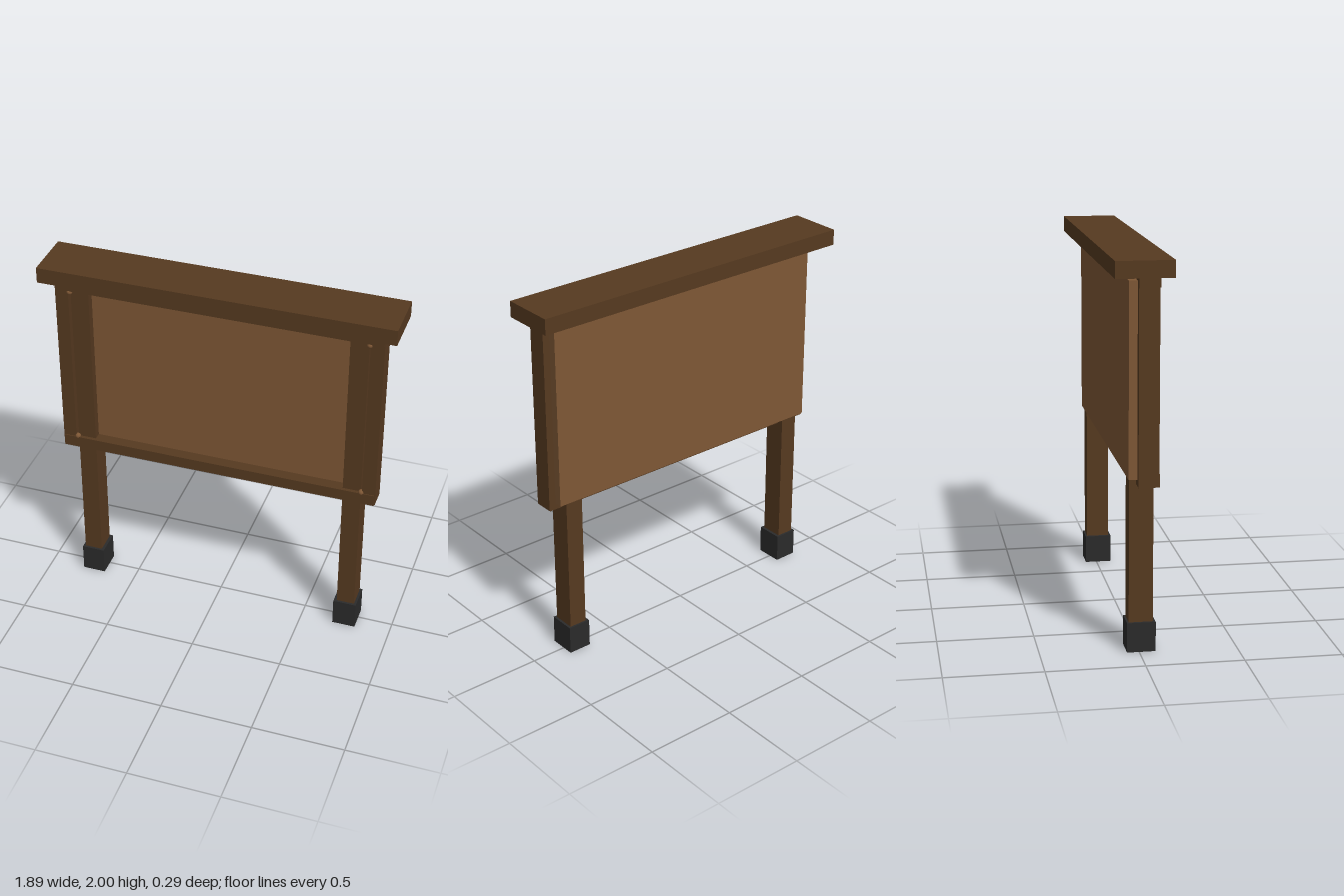
import * as THREE from 'three';

export function createModel() {
  const model = new THREE.Group();
  model.name = 'noticeBoard';

  const material = (name, color) => {
    const m = new THREE.MeshStandardMaterial({ color });
    m.name = name;
    return m;
  };
  const darkWood = material('darkWood', 0x563a20);
  const boardWood = material('boardWood', 0x7e5735);
  const footing = material('footingGrey', 0x2b2b2b);

  // Box given by its limits on each axis
  const box = (name, mat, [x0, x1], [y0, y1], [z0, z1]) => {
    const mesh = new THREE.Mesh(new THREE.BoxGeometry(x1 - x0, y1 - y0, z1 - z0), mat);
    mesh.position.set((x0 + x1) / 2, (y0 + y1) / 2, (z0 + z1) / 2);
    mesh.name = name;
    model.add(mesh);
  };
  const span = (s, a, b) => (s > 0 ? [a, b] : [-b, -a]);

  // Cap board, backing panel and the two rails
  box('capBoard', darkWood, [-0.945, 0.945], [1.915, 2], [-0.145, 0.145]);
  box('backPanel', boardWood, [-0.837, 0.837], [0.907, 1.89], [-0.061, 0.028]);
  box('topRail', darkWood, [-0.87, 0.87], [1.859, 1.916], [-0.016, 0.09]);
  box('bottomRail', darkWood, [-0.87, 0.87], [0.872, 0.936], [-0.016, 0.09]);

  for (const s of [1, -1]) {
    const side = s > 0 ? 'left' : 'right';
    // Post, footing and frame stile, with a narrow gap between post and stile
    box(side + 'Post', darkWood, span(s, 0.696, 0.794), [0.1, 1.875], [-0.052, 0.071]);
    box(side + 'Footing', footing, span(s, 0.68, 0.807), [0, 0.155], [-0.062, 0.084]);
    box(side + 'Stile', darkWood, span(s, 0.803, 0.875), [0.876, 1.916], [-0.018, 0.085]);

    // Round pegs at the frame corners
    for (const y of [0.938, 1.85]) {
      const peg = new THREE.Mesh(new THREE.SphereGeometry(0.016, 12, 8), boardWood);
      peg.position.set(s * 0.797, y, 0.079);
      peg.name = side + 'Peg';
      model.add(peg);
    }
  }
  return model;
}
